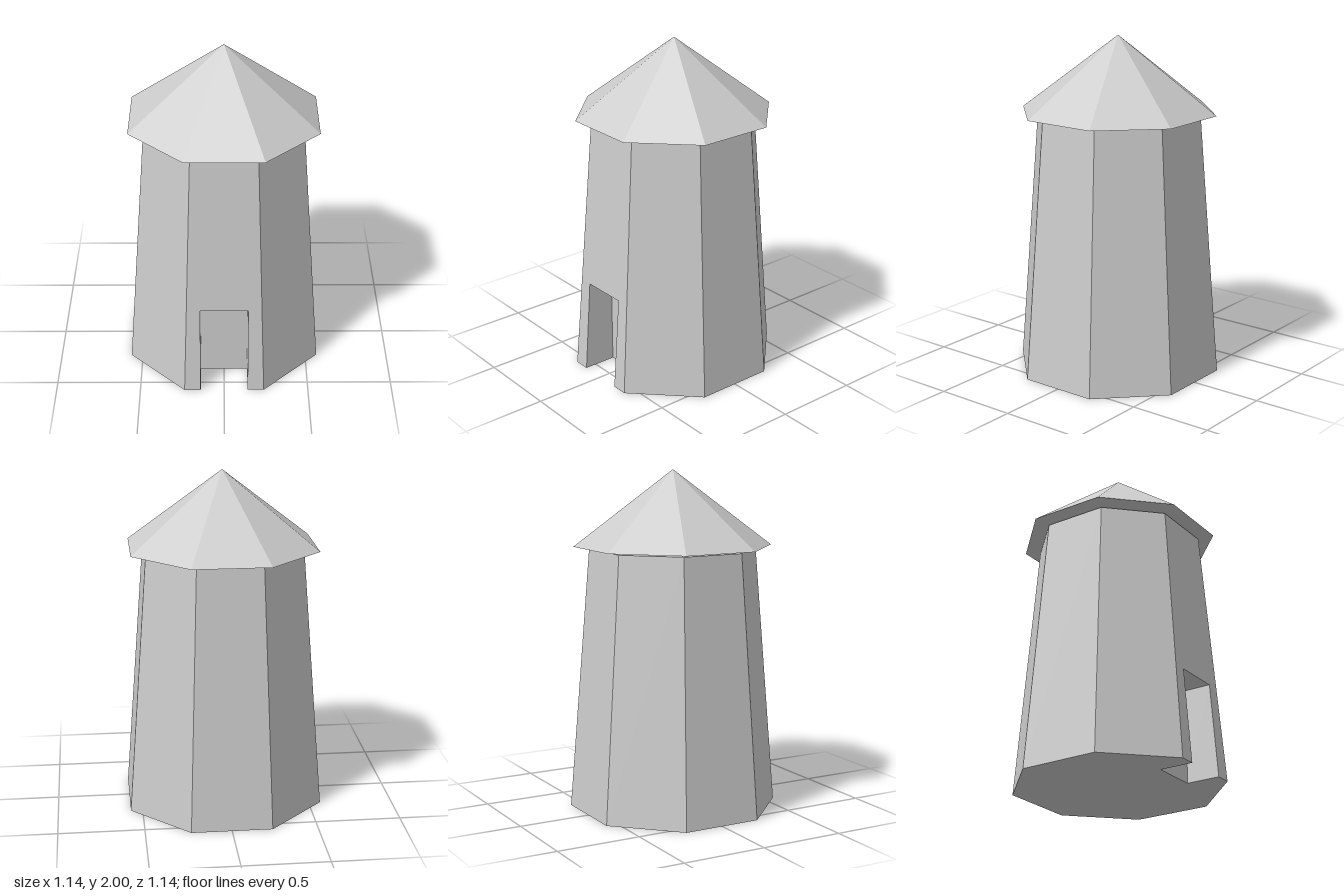
import * as THREE from 'three';

const BASE = 0.57, TOP = 0.455, HEIGHT = 1.54; // distances from axis to the flat sides
const DOOR_X = 0.14, DOOR_Y = 0.555, DOOR_Z = 0.37;

// Octagon corners with a flat side facing +z, counter-clockwise seen from above
function ring(apothem, y) {
  const r = apothem / Math.cos(Math.PI / 8);
  return Array.from({ length: 8 }, (_, i) => {
    const a = -Math.PI / 8 + i * Math.PI / 4;
    return [r * Math.sin(a), y, r * Math.cos(a)];
  });
}

// Flat-sided surface from convex polygons, corners counter-clockwise from outside
function polygons(list) {
  const pos = [];
  for (const p of list)
    for (let i = 1; i < p.length - 1; i++) pos.push(...p[0], ...p[i], ...p[i + 1]);
  const g = new THREE.BufferGeometry();
  g.setAttribute('position', new THREE.Float32BufferAttribute(pos, 3));
  g.computeVertexNormals();
  return g;
}

export function createModel() {
  const group = new THREE.Group();
  const stone = new THREE.MeshStandardMaterial({ color: 0xcccccc });
  stone.name = 'paleGrey';
  const add = (name, geometry) => {
    const mesh = new THREE.Mesh(geometry, stone);
    mesh.name = name;
    group.add(mesh);
    return mesh;
  };

  const lo = ring(BASE, 0), hi = ring(TOP, HEIGHT);

  // Seven plain tapering walls and the top
  const walls = [];
  for (let i = 1; i < 8; i++) {
    const j = (i + 1) % 8;
    walls.push([lo[i], lo[j], hi[j], hi[i]]);
  }
  walls.push(hi);
  add('towerWalls', polygons(walls));

  // Front wall around the doorway
  const doorTopZ = BASE + (TOP - BASE) * DOOR_Y / HEIGHT;
  const a = [-DOOR_X, 0, BASE], b = [DOOR_X, 0, BASE];
  const c = [DOOR_X, DOOR_Y, doorTopZ], d = [-DOOR_X, DOOR_Y, doorTopZ];
  add('frontWall', polygons([
    [lo[0], a, d, hi[0]],
    [b, lo[1], hi[1], c],
    [d, c, hi[1], hi[0]],
  ]));

  // Recess of the doorway: back, two sides and ceiling
  const e = [-DOOR_X, 0, DOOR_Z], f = [DOOR_X, 0, DOOR_Z];
  const g = [DOOR_X, DOOR_Y, DOOR_Z], h = [-DOOR_X, DOOR_Y, DOOR_Z];
  add('doorway', polygons([[e, f, g, h], [a, e, h, d], [f, b, c, g], [h, g, c, d]]));

  // Underside with the doorway notch
  const outline = [lo[0], a, e, f, b, ...lo.slice(1)].map(p => new THREE.Vector2(p[0], p[2]));
  add('towerBottom', new THREE.ShapeGeometry(new THREE.Shape(outline)).rotateX(Math.PI / 2));

  // Pointed roof floating just above the walls
  const eaves = ring(0.54, 1.555), tip = [0, 2, 0];
  const roof = eaves.map((p, i) => [p, eaves[(i + 1) % 8], tip]);
  roof.push([...eaves].reverse());
  add('roof', polygons(roof));

  return group;
}
